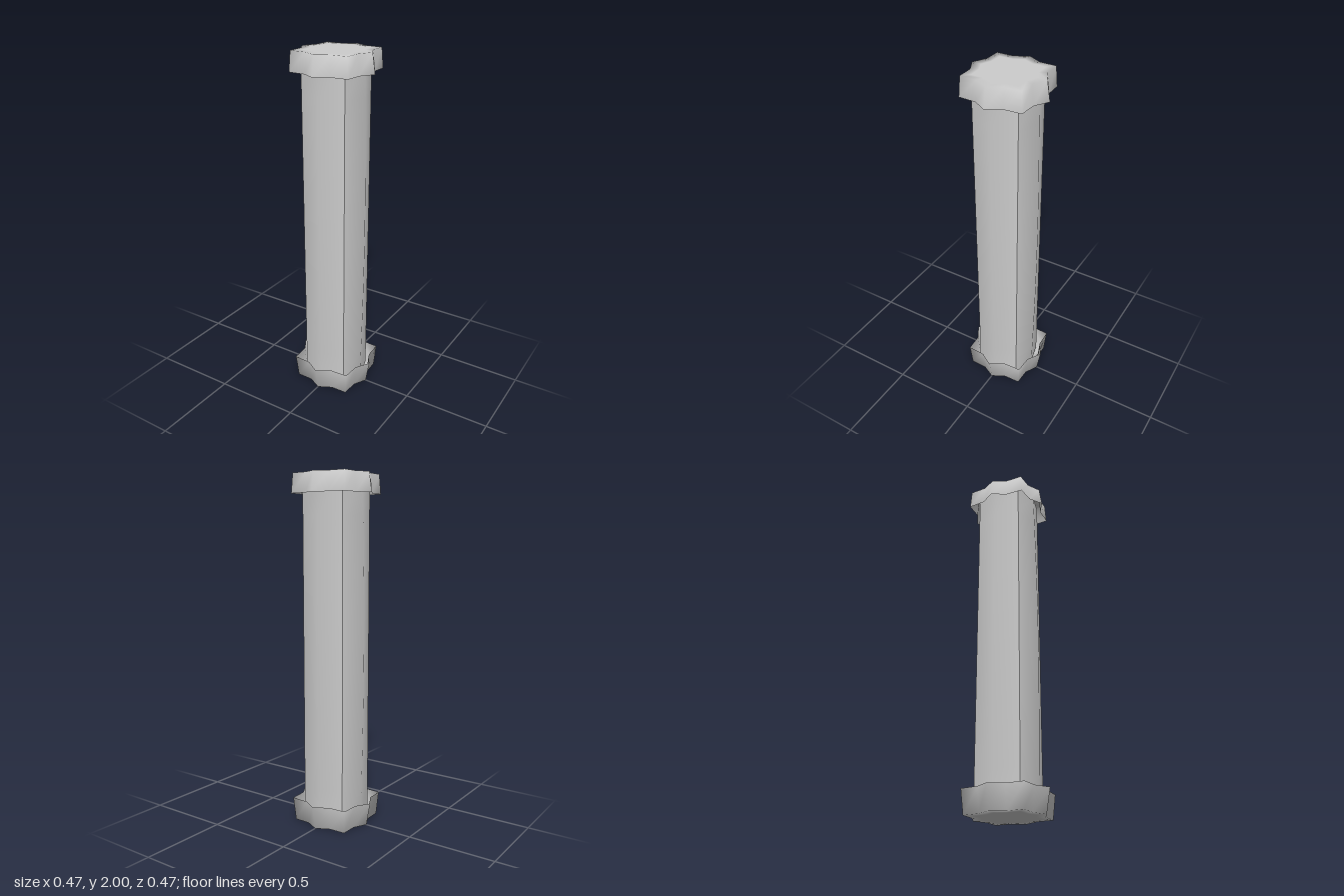
import * as THREE from 'three';

const stone = new THREE.MeshStandardMaterial({ color: 0xcccccc, side: THREE.DoubleSide });
stone.name = 'pale stone';

// Skin a stack of rings (lowest first, points counter-clockwise from above) with smooth normals.
function skin(rings, closed) {
  const n = rings[0].length;
  const index = [];
  for (let j = 0; j < rings.length - 1; j++) {
    for (let i = 0; i < (closed ? n : n - 1); i++) {
      const k = (i + 1) % n;
      const a = j * n + i, b = j * n + k, c = b + n, d = a + n;
      index.push(a, b, c, a, c, d);
    }
  }
  const geometry = new THREE.BufferGeometry();
  geometry.setAttribute('position', new THREE.Float32BufferAttribute(rings.flat(2), 3));
  geometry.setIndex(index);
  geometry.computeVertexNormals();
  return geometry;
}

// Eight-pointed star: one quarter (point, valley, corner, valley) turned four times.
function star(point, corner, valleyX, valleyZ, y) {
  const quarter = [[0, point], [valleyX, valleyZ], [corner, corner], [valleyZ, valleyX]];
  const ring = [];
  for (let q = 0; q < 4; q++) {
    const c = Math.round(Math.cos(q * Math.PI / 2)), s = Math.round(Math.sin(q * Math.PI / 2));
    for (const [x, z] of quarter) ring.push([x * c + z * s, y, z * c - x * s]);
  }
  return ring;
}

// Hollow star-shaped cap: open below, tapering to a flat top, softly shaded over the edge.
function cap(name, height, rim) {
  const geometry = skin([
    star(0.237 * rim, 0.183 * rim, 0.08 * rim, 0.188 * rim, 0),
    star(0.214, 0.172, 0.077, 0.174, height),
    star(0.16, 0.132, 0.058, 0.135, height),
    star(0, 0, 0, 0, height),
  ], true);
  const mesh = new THREE.Mesh(geometry, stone);
  mesh.name = name;
  return mesh;
}

export function createModel() {
  const group = new THREE.Group();
  group.name = 'column';

  // Shaft: four slightly swelling panels that meet in crisp corners.
  const rows = 10, bottom = 0.03, top = 1.96;
  const rings = [];
  for (let j = 0; j <= rows; j++) {
    const t = j / rows, y = bottom + (top - bottom) * t;
    const middle = 0.172 + 0.016 * Math.sin(Math.PI * t);
    rings.push([[-0.134, y, 0.134], [0, y, middle], [0.134, y, 0.134]]);
  }
  const panel = skin(rings, false);
  const shaft = new THREE.Group();
  shaft.name = 'shaft';
  for (let q = 0; q < 4; q++) {
    const mesh = new THREE.Mesh(panel, stone);
    mesh.name = 'shaftPanel';
    mesh.rotation.y = q * Math.PI / 2;
    shaft.add(mesh);
  }
  group.add(shaft);

  // Capital, and a base that is the same shape turned over.
  const capital = cap('capital', 0.11, 0.975);
  capital.position.y = 1.89;
  const base = cap('base', 0.135, 1);
  base.rotation.x = Math.PI;
  base.position.y = 0.135;
  group.add(capital, base);

  return group;
}
